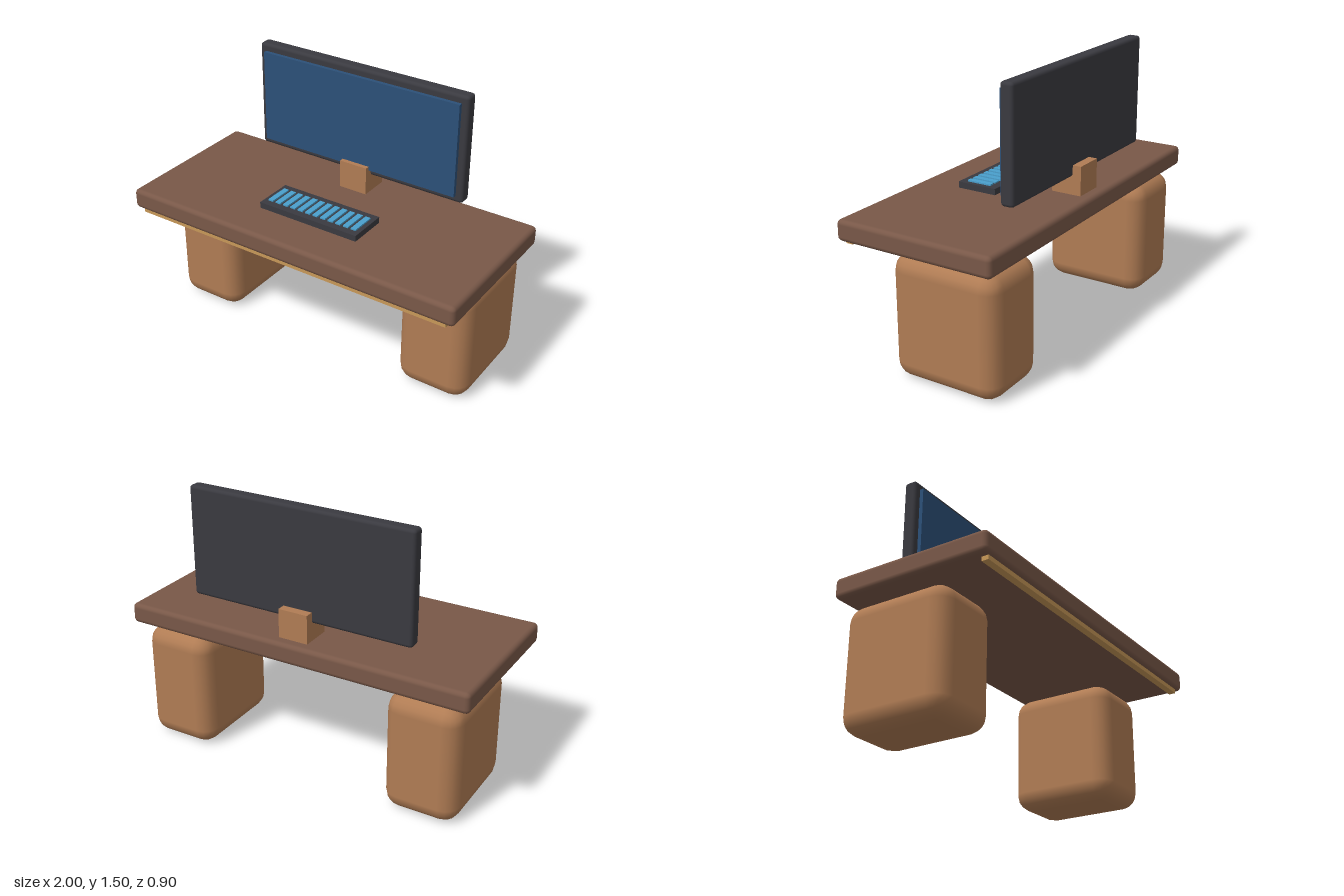
import * as THREE from 'three';
import { RoundedBoxGeometry } from 'three/addons/geometries/RoundedBoxGeometry.js';

const material = (name, color) => {
  const m = new THREE.MeshStandardMaterial({ color });
  m.name = name;
  return m;
};

export function createModel() {
  const darkWood = material('darkWood', 0x795848);
  const lightWood = material('lightWood', 0xb07c54);
  const trimWood = material('trimWood', 0xc89858);
  const casing = material('casing', 0x3a3a40);
  const screenBlue = material('screenBlue', 0x2c5078);
  const keyBlue = material('keyBlue', 0x4a9fcc);

  const model = new THREE.Group();
  model.name = 'computerDesk';

  // Box from its min and max corners, with optional rounded edges
  const box = (name, mat, [x0, y0, z0], [x1, y1, z1], radius = 0, parent = model) => {
    const size = [x1 - x0, y1 - y0, z1 - z0];
    const geometry = radius
      ? new RoundedBoxGeometry(...size, 2, radius)
      : new THREE.BoxGeometry(...size);
    const mesh = new THREE.Mesh(geometry, mat);
    mesh.name = name;
    mesh.position.set((x0 + x1) / 2, (y0 + y1) / 2, (z0 + z1) / 2);
    parent.add(mesh);
    return mesh;
  };

  // Desk: top, front trim strip and two chunky pedestals
  box('desktop', darkWood, [-1, 0.685, -0.45], [1, 0.798, 0.45], 0.025);
  box('frontTrim', trimWood, [-0.95, 0.662, 0.392], [0.95, 0.69, 0.43]);
  for (const [name, x] of [['leftPedestal', 0.741], ['rightPedestal', -0.741]]) {
    box(name, lightWood, [x - 0.204, 0, -0.43], [x + 0.204, 0.66, 0.182], 0.09);
  }

  // Monitor on a block stand
  const monitor = new THREE.Group();
  monitor.name = 'monitor';
  model.add(monitor);
  box('monitorStand', lightWood, [-0.084, 0.795, -0.39], [0.084, 0.957, -0.22], 0, monitor);
  box('monitorCase', casing, [-0.645, 0.895, -0.342], [0.645, 1.502, -0.268], 0.018, monitor);
  box('screen', screenBlue, [-0.605, 0.935, -0.28], [0.605, 1.46, -0.246], 0, monitor);

  // Keyboard with a row of twelve keys
  const keyboard = new THREE.Group();
  keyboard.name = 'keyboard';
  model.add(keyboard);
  box('keyboardBase', casing, [-0.303, 0.796, -0.01], [0.303, 0.832, 0.216], 0, keyboard);
  for (let i = 0; i < 12; i++) {
    const x = (i - 5.5) * 0.0477;
    box('key', keyBlue, [x - 0.0155, 0.831, 0.034], [x + 0.0155, 0.84, 0.176], 0, keyboard);
  }

  return model;
}
